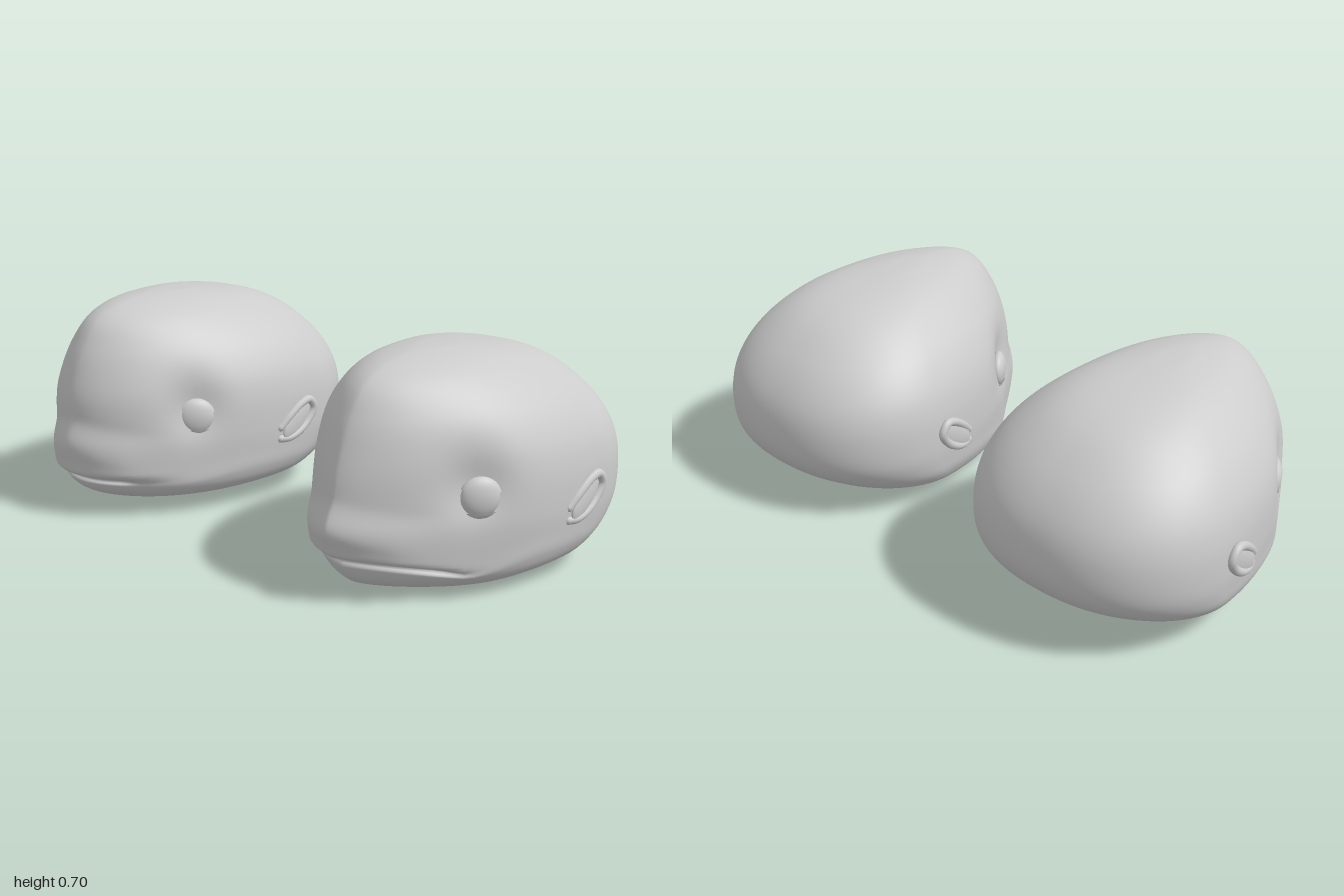
import * as THREE from 'three';

const grey = new THREE.MeshStandardMaterial({ color: 0xcccccc, side: THREE.DoubleSide });

// Horizontal slices from chin to crown: height, half width, front z, back z
const SLICES = [
  [0, 0, 0.08, 0.08], [0.004, 0.16, 0.25, -0.07], [0.018, 0.28, 0.385, -0.21],
  [0.05, 0.36, 0.455, -0.37], [0.1, 0.398, 0.49, -0.46], [0.16, 0.412, 0.51, -0.525],
  [0.235, 0.418, 0.532, -0.556], [0.34, 0.413, 0.522, -0.553], [0.43, 0.388, 0.497, -0.518],
  [0.52, 0.332, 0.46, -0.446], [0.6, 0.247, 0.405, -0.34], [0.645, 0.165, 0.32, -0.21],
  [0.667, 0.07, 0.19, -0.03], [0.671, 0, 0.09, 0.09],
];
const EYE = new THREE.Vector3(0.286, 0.299, 0.235), MOUTH_Y = 0.122;

const bell = (d, s) => Math.exp(-(d * d) / (s * s));
const { smoothstep, lerp } = THREE.MathUtils;

function mesh(name, geometry, parent) {
  const m = new THREE.Mesh(geometry, grey);
  m.name = name;
  parent.add(m);
  return m;
}

// Skull: egg-shaped rings, then muzzle, mouth and eye hollows
function skullGeometry(o) {
  const rows = 120, n = 120, pos = [], index = [];
  const size = new THREE.CatmullRomCurve3(SLICES.map(s => new THREE.Vector3(s[1], s[2], s[3])), false, 'catmullrom');
  const level = new THREE.CatmullRomCurve3(SLICES.map(s => new THREE.Vector3(0, s[0], 0)), false, 'catmullrom');
  for (let j = 0; j <= rows; j++) {
    const { x: w, y: zFront, z: zBack } = size.getPoint(j / rows);
    const y0 = level.getPoint(j / rows).y;
    const front = zFront - o.blunt * bell(y0 - 0.22, 0.12);
    const mid = zBack + (front - zBack) * 0.33;
    // The face is sharpest at the muzzle and rounder at the forehead
    const point = lerp(o.point, o.brow, smoothstep(y0, 0.25, 0.55));
    const backPower = lerp(1, 0.86, smoothstep(y0, 0.03, 0.2));
    for (let i = 0; i < n; i++) {
      const t = (i / n) * Math.PI * 2, c = Math.cos(t), s = Math.sin(t);
      const power = c > 0 ? lerp(1, point, smoothstep(c, 0.2, 0.85)) : backPower;
      let x = Math.sign(s) * Math.max(w, 0) * Math.pow(Math.abs(s), power);
      let z = mid + c * (c > 0 ? front - mid : mid - zBack);
      let y = y0;
      const ahead = smoothstep(z, 0.05, 0.3), ax = Math.abs(x);
      // Muzzle: the upper lip juts out over the lower one, its crest sloping to the sides
      const crest = y0 + 0.2 * ax;
      const muzzle = smoothstep(y0, 0.112, 0.15) * (1 - smoothstep(crest, 0.2, 0.31));
      z += 0.035 * muzzle * smoothstep(z, 0.2, 0.42) * (1 - smoothstep(ax, 0.16, 0.32));
      // Mouth line: a thin groove that fades at its corners
      const fade = ahead * (1 - smoothstep(ax, o.mouth * 0.75, o.mouth * 1.1));
      const groove = 0.018 * fade * bell(y0 - MOUTH_Y, 0.01);
      z -= groove;
      x *= 1 - groove * 1.5;
      // Lips bend down towards the mouth corners
      const bend = Math.min(1, (x / 0.28) ** 2);
      y -= (o.lower + o.droop * bend) * ahead * bell(y0 - 0.13, 0.06);
      // Shallow eye sockets
      const d = Math.hypot((y0 - EYE.y - 0.03) / 1.25, z - EYE.z - 0.025);
      const dent = 0.03 * bell(d, 0.08) * Math.min(1, ax / 0.2);
      x -= Math.sign(x) * dent;
      z -= dent * 0.6;
      pos.push(x, y, z);
      if (j < rows) {
        const a = j * n + i, b = j * n + (i + 1) % n;
        index.push(a, b, b + n, a, b + n, a + n);
      }
    }
  }
  const g = new THREE.BufferGeometry();
  g.setAttribute('position', new THREE.Float32BufferAttribute(pos, 3));
  g.setIndex(index);
  g.computeVertexNormals();
  return g;
}

// Eyeball with an upper and a lower lid
function makeEye(side) {
  const eye = new THREE.Group();
  eye.name = side > 0 ? 'leftEye' : 'rightEye';
  mesh('eyeball', new THREE.SphereGeometry(1, 32, 24), eye);
  const upper = mesh('upperLid', new THREE.SphereGeometry(1.09, 32, 14, 0, Math.PI * 2, 0, 1.2), eye);
  upper.rotation.z = -0.12 * side;
  const lower = mesh('lowerLid', new THREE.SphereGeometry(1.09, 32, 10, 0, Math.PI * 2, 0, 0.88), eye);
  lower.rotation.z = Math.PI;
  eye.position.set(EYE.x * side, EYE.y, EYE.z);
  eye.rotation.y = 0.92 * side;
  eye.scale.set(0.058, 0.057, 0.026);
  return eye;
}

// Ear: a rolled rim around a shallow plate, leaning back
function makeEar(side) {
  const ear = new THREE.Group();
  ear.name = side > 0 ? 'leftEar' : 'rightEar';
  const rim = [
    [0.402, 0.225, -0.045], [0.412, 0.26, -0.08], [0.42, 0.296, -0.13], [0.425, 0.305, -0.165],
    [0.426, 0.275, -0.187], [0.422, 0.235, -0.165], [0.418, 0.2, -0.12], [0.41, 0.185, -0.075], [0.4, 0.186, -0.045],
  ].map(([x, y, z]) => new THREE.Vector3(x * side, y, z));
  mesh('earRim', new THREE.TubeGeometry(new THREE.CatmullRomCurve3(rim), 60, 0.014, 12), ear);
  for (const p of [rim[0], rim[8]]) mesh('rimEnd', new THREE.SphereGeometry(0.014, 12, 8), ear).position.copy(p);
  const plate = mesh('earPlate', new THREE.SphereGeometry(1, 24, 16), ear);
  plate.scale.set(0.014, 0.044, 0.088);
  plate.position.set(0.413 * side, 0.243, -0.122);
  plate.rotation.x = 0.68;
  return ear;
}

function makeHead(name, o) {
  const head = new THREE.Group();
  head.name = name;
  mesh('skull', skullGeometry(o), head);
  for (const side of [1, -1]) head.add(makeEye(side), makeEar(side));
  head.position.set(o.x, o.y, 0);
  return head;
}

export function createModel() {
  const model = new THREE.Group();
  model.name = 'headPair';
  model.add(
    makeHead('roundHead', { x: -0.56, y: 0.028, point: 1.08, brow: 1.15, blunt: 0.022, mouth: 0.18, lower: 0.028, droop: 0 }),
    makeHead('pointedHead', { x: 0.56, y: 0, point: 1.42, brow: 1.25, blunt: 0, mouth: 0.28, lower: 0.003, droop: 0.045 }),
  );
  return model;
}
